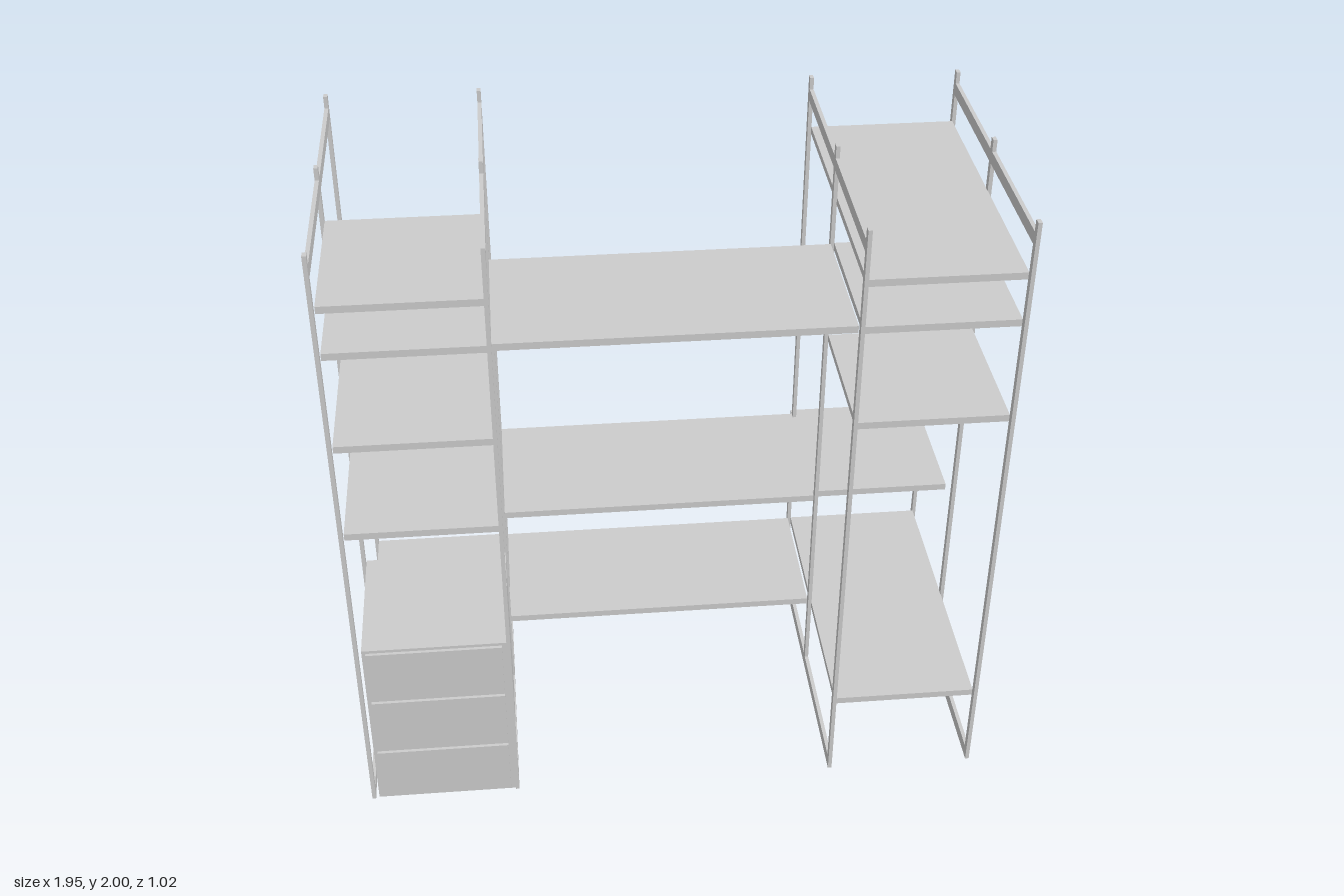
import * as THREE from 'three';

export function createModel() {
  const model = new THREE.Group();
  model.name = 'openShelvingUnit';
  const material = new THREE.MeshStandardMaterial({ color: 0xcccccc, flatShading: true });

  // Box given by its limits along each axis
  function box(parent, name, [x0, x1], [y0, y1], [z0, z1]) {
    const mesh = new THREE.Mesh(new THREE.BoxGeometry(x1 - x0, y1 - y0, z1 - z0), material);
    mesh.position.set((x0 + x1) / 2, (y0 + y1) / 2, (z0 + z1) / 2);
    mesh.name = name;
    parent.add(mesh);
  }

  // Four ladder frames: three posts joined by a floor rail and a top rail
  const back = -0.487, front = 0.502, post = 0.022;
  for (const x of [-0.972, -0.511, 0.511, 0.969]) {
    const frame = new THREE.Group();
    frame.name = 'sideFrame';
    const width = [x - 0.006, x + 0.006];
    const postStarts = [back, -0.016, front - post];
    for (const z of postStarts) box(frame, 'post', width, [0, 2], [z, z + post]);
    for (let i = 0; i < 2; i++) {
      const span = [postStarts[i] + post, postStarts[i + 1]];
      box(frame, 'floorRail', width, [0, 0.04], span);
      box(frame, 'topRail', width, [1.925, 1.963], span);
    }
    model.add(frame);
  }

  // Shelves, listed by bay and depth
  const left = [-0.964, -0.516], middle = [-0.505, 0.505], right = [0.516, 0.964];
  const frontHalf = [0.006, 0.48], backHalf = [-0.465, -0.012], fullDepth = [-0.465, 0.48];
  const shelves = [
    [left, 1.823, frontHalf],
    [left, 1.675, frontHalf],
    [left, 1.366, frontHalf],
    [left, 1.055, frontHalf],
    [left, 0.278, backHalf],
    [middle, 1.675, [0.012, 0.473]],
    [middle, 0.72, [-0.487, -0.014]],
    [middle, 0.278, [-0.462, -0.014]],
    [right, 1.825, fullDepth],
    [right, 1.675, frontHalf],
    [right, 1.353, frontHalf],
    [right, 0.72, [-0.51, -0.036]],
    [right, 0.278, fullDepth],
  ];
  for (const [x, y, z] of shelves) {
    // the low desk shelf stops short of the outer frame
    const span = x === right && y === 0.72 ? [0.505, 0.95] : x;
    box(model, 'shelf', span, [y - 0.011, y + 0.011], z);
  }

  // Drawer cabinet with three raised fronts
  const cabinet = new THREE.Group();
  cabinet.name = 'drawerCabinet';
  box(cabinet, 'cabinetBody', [-0.955, -0.509], [0.004, 0.63], [0.065, 0.5]);
  for (const y of [[0.02, 0.207], [0.22, 0.42], [0.432, 0.62]])
    box(cabinet, 'drawerFront', [-0.943, -0.531], y, [0.5, 0.51]);
  model.add(cabinet);

  return model;
}
